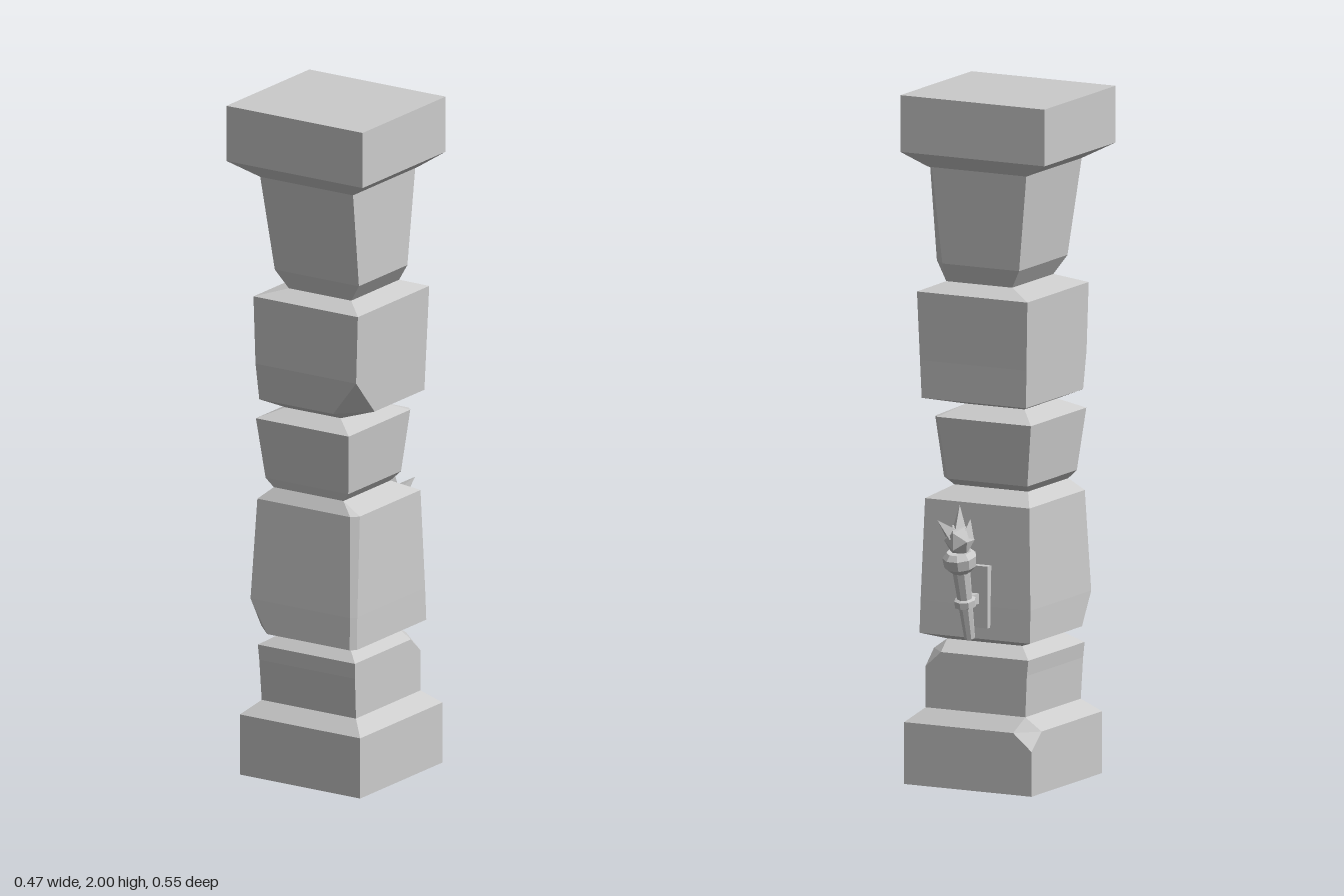
import * as THREE from 'three';

const stone = new THREE.MeshStandardMaterial({ color: 0xcccccc, flatShading: true });

// Corner cuts are listed as [front right, front left, back left, back right]
function ringPoints([y, x0, x1, z0, z1, cuts = [0, 0, 0, 0]]) {
  const [a, b, c, d] = cuts;
  return [
    [x0, z1 - a], [x0 + a, z1], [x1 - b, z1], [x1, z1 - b],
    [x1, z0 + c], [x1 - c, z0], [x0 + d, z0], [x0, z0 + d],
  ].map(([x, z]) => new THREE.Vector3(x, y, z));
}

// Skins a stack of rectangular cross-sections, closed at both ends
function loft(rows) {
  const rings = rows.map(ringPoints), out = [];
  const tri = (a, b, c) => {
    const n = b.clone().sub(a).cross(c.clone().sub(a));
    if (n.length() > 1e-9) for (const p of [a, b, c]) out.push(p);
  };
  for (let i = 0; i < rings.length - 1; i++) {
    const lo = rings[i], hi = rings[i + 1];
    for (let j = 0; j < 8; j++) {
      const k = (j + 1) % 8;
      tri(lo[j], lo[k], hi[k]);
      tri(lo[j], hi[k], hi[j]);
    }
  }
  const first = rings[0], last = rings[rings.length - 1];
  for (let j = 1; j < 7; j++) {
    tri(first[0], first[j + 1], first[j]);
    tri(last[0], last[j], last[j + 1]);
  }
  const g = new THREE.BufferGeometry().setFromPoints(out);
  g.computeVertexNormals();
  return g;
}

function add(parent, name, geometry, x = 0, y = 0, z = 0) {
  const m = new THREE.Mesh(geometry, stone);
  m.name = name;
  m.position.set(x, y, z);
  parent.add(m);
  return m;
}

function lathe(points, sides) {
  return new THREE.LatheGeometry(points.map(([r, y]) => new THREE.Vector2(r, y)), sides);
}

function createTorch() {
  const torch = new THREE.Group();
  torch.name = 'torch';

  // Wall plate and arm
  add(torch, 'wallPlate', new THREE.BoxGeometry(0.08, 0.18, 0.03), 0, 0.56, -0.115);
  add(torch, 'bracketArm', new THREE.BoxGeometry(0.025, 0.03, 0.06), 0, 0.555, -0.15);

  // Leaning handle, cup and flame
  const lean = new THREE.Group();
  lean.name = 'leaningTorch';
  lean.position.set(0, 0.445, -0.163);
  lean.rotation.x = -0.24;
  torch.add(lean);
  add(lean, 'handle', lathe([[0, 0], [0.016, 0], [0.027, 0.22], [0, 0.22]], 8));
  add(lean, 'bracketRing', lathe([[0.02, 0.095], [0.032, 0.1], [0.032, 0.12], [0.02, 0.125]], 8));
  add(lean, 'cup', lathe([[0.025, 0.205], [0.047, 0.225], [0.05, 0.255], [0.036, 0.27], [0, 0.265]], 9));

  const flame = new THREE.Group();
  flame.name = 'flame';
  flame.position.set(0, 0.74, -0.225);
  torch.add(flame);
  add(flame, 'flameCore', new THREE.IcosahedronGeometry(0.044, 0)).scale.y = 1.1;
  // Flame tongues: base x, y, z, then tip x, y, z
  const tongues = [
    [0, 0.02, 0, 0.004, 0.1, 0.01],
    [0.015, 0.015, -0.012, 0.05, 0.06, -0.04],
    [-0.02, 0.01, 0.005, -0.03, 0.062, 0.012],
  ];
  for (const [x, y, z, tx, ty, tz] of tongues) {
    const dir = new THREE.Vector3(tx - x, ty - y, tz - z), h = dir.length();
    const cone = new THREE.ConeGeometry(0.026, h, 4).translate(0, h / 2, 0);
    add(flame, 'flameTongue', cone, x, y, z)
      .quaternion.setFromUnitVectors(new THREE.Vector3(0, 1, 0), dir.normalize());
  }
  return torch;
}

export function createModel() {
  const model = new THREE.Group();
  model.name = 'stonePillar';

  // Rows: height, right, left, back, front, optional corner cuts
  add(model, 'base', loft([
    [0.10, -0.11, 0.125, -0.07, 0.17],
    [0, -0.11, 0.125, -0.07, 0.17],
    [0, -0.2, 0.215, -0.16, 0.26],
    [0.13, -0.2, 0.215, -0.16, 0.26],
    [0.18, -0.2, 0.215, -0.16, 0.26, [0, 0, 0, 0.06]],
    [0.22, -0.155, 0.17, -0.115, 0.215],
  ]));

  add(model, 'lowerBlock', loft([
    [0.22, -0.155, 0.17, -0.115, 0.215],
    [0.34, -0.16, 0.17, -0.115, 0.22],
    [0.385, -0.165, 0.17, -0.115, 0.22, [0, 0, 0.05, 0]],
    [0.415, -0.115, 0.13, -0.06, 0.185],
  ]));

  add(model, 'tallBlock', loft([
    [0.415, -0.115, 0.13, -0.06, 0.185],
    [0.435, -0.17, 0.19, -0.115, 0.255, [0.06, 0.015, 0, 0]],
    [0.53, -0.17, 0.188, -0.112, 0.25, [0, 0.015, 0, 0]],
    [0.825, -0.16, 0.18, -0.1, 0.23, [0, 0.02, 0, 0]],
    [0.86, -0.12, 0.12, -0.035, 0.205],
  ]));

  add(model, 'middleBlock', loft([
    [0.86, -0.12, 0.12, -0.035, 0.205],
    [0.885, -0.145, 0.14, -0.085, 0.21, [0, 0, 0.025, 0]],
    [1.065, -0.165, 0.155, -0.1, 0.23, [0, 0, 0.015, 0]],
    [1.095, -0.1, 0.09, -0.02, 0.175],
  ]));

  add(model, 'upperBlock', loft([
    [1.095, -0.1, 0.09, -0.02, 0.175],
    [1.12, -0.16, 0.18, -0.12, 0.22, [0, 0.085, 0, 0]],
    [1.23, -0.163, 0.184, -0.123, 0.235],
    [1.43, -0.17, 0.19, -0.13, 0.235],
    [1.455, -0.085, 0.13, -0.065, 0.18],
  ]));

  add(model, 'topBlock', loft([
    [1.455, -0.085, 0.13, -0.065, 0.18],
    [1.51, -0.12, 0.17, -0.088, 0.2, [0, 0, 0.04, 0]],
    [1.79, -0.15, 0.17, -0.1, 0.23, [0, 0, 0.012, 0]],
  ]));

  add(model, 'capital', loft([
    [1.79, -0.15, 0.17, -0.1, 0.23],
    [1.835, -0.235, 0.235, -0.147, 0.277],
    [2, -0.235, 0.235, -0.147, 0.277],
  ]));

  model.add(createTorch());
  return model;
}
